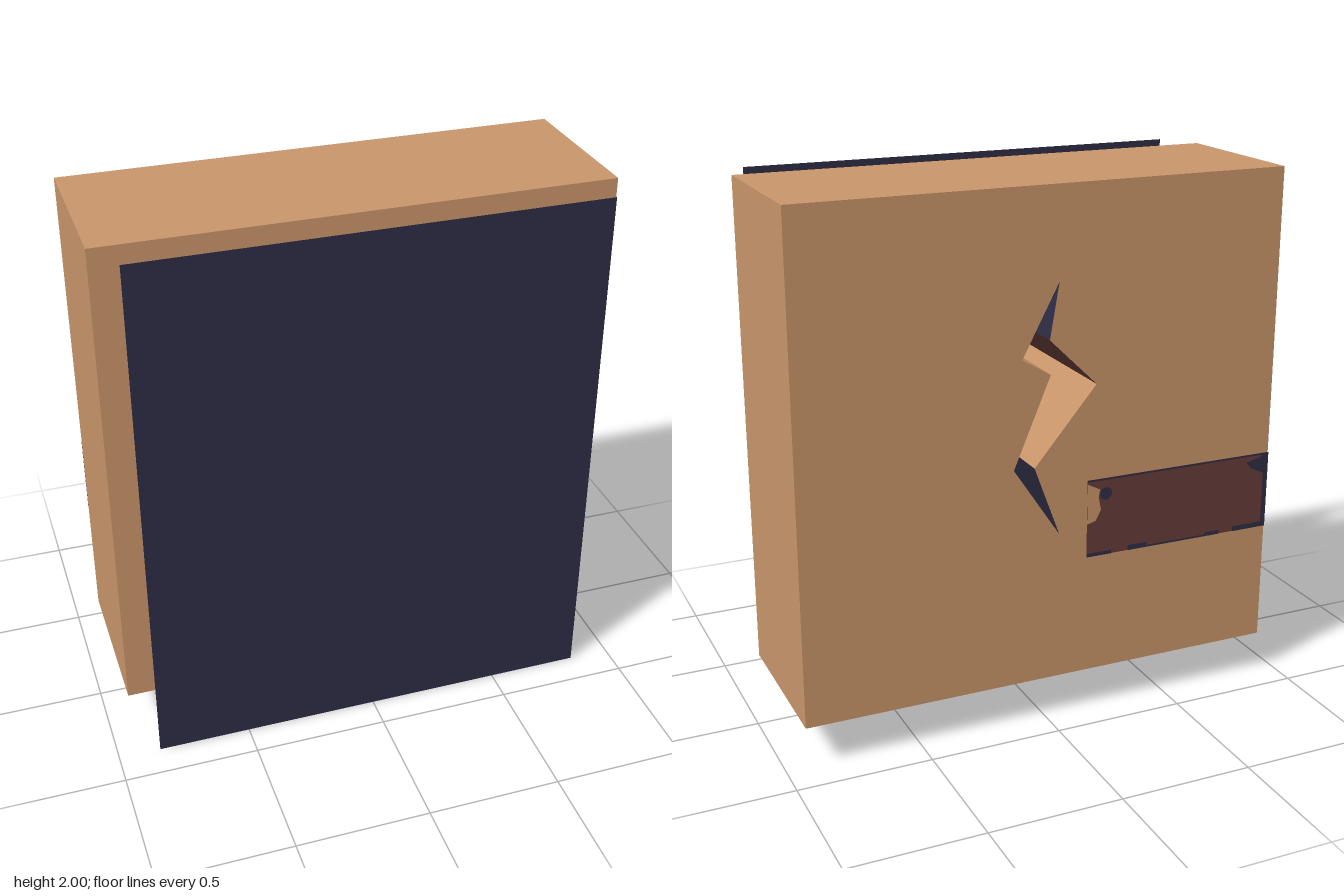
import * as THREE from 'three';

const flat = (name, color, side = THREE.FrontSide) => {
  const m = new THREE.MeshStandardMaterial({ color, side });
  m.name = name;
  return m;
};

export function createModel() {
  const model = new THREE.Group();
  const tan = flat('tan', 0xc8956a);
  const brown = flat('darkBrown', 0x653c39);
  const navy = flat('navy', 0x2e2d45, THREE.DoubleSide);

  const add = (name, geometry, material, parent = model) => {
    const mesh = new THREE.Mesh(geometry, material);
    mesh.name = name;
    parent.add(mesh);
    return mesh;
  };
  const shapeOf = (pts, flip = 1) =>
    new THREE.Shape(pts.map(([x, y]) => new THREE.Vector2(flip * x, y)));

  const W = 0.925, BOTTOM = 0.16, TOP = 2, BACK = -0.38, FRONT = 0.23;
  const outline = [[-W, BOTTOM], [W, BOTTOM], [W, TOP], [-W, TOP]];

  // Crack outline, clockwise; each corner carries the colour of the wall after it
  const crack = [
    [-0.04, 1.665, brown], [0.1, 1.4, tan], [-0.01, 1.335, brown], [0.13, 1.0, navy],
    [-0.05, 0.73, navy], [0.05, 0.997, tan], [-0.19, 1.28, brown], [-0.005, 1.46, navy],
  ];

  // Block: two pierced faces joined by outer walls and crack walls
  const block = new THREE.Group();
  block.name = 'block';
  model.add(block);

  const face = (flip) => {
    const s = shapeOf(outline, flip);
    s.holes.push(shapeOf(crack, flip));
    return new THREE.ShapeGeometry(s);
  };
  add('frontFace', face(1).translate(0, 0, FRONT), tan, block);
  add('backFace', face(-1).rotateY(Math.PI).translate(0, 0, BACK), tan, block);

  const addWalls = (name, loop) => loop.forEach(([ax, ay, material = tan], i) => {
    const [bx, by] = loop[(i + 1) % loop.length];
    const g = new THREE.BufferGeometry();
    g.setAttribute('position', new THREE.Float32BufferAttribute(
      [ax, ay, BACK, bx, by, BACK, bx, by, FRONT, ax, ay, FRONT], 3));
    g.setIndex([0, 1, 2, 0, 2, 3]);
    g.computeVertexNormals();
    add(name, g, material, block);
  });
  addWalls('outerWall', outline);
  addWalls('crackWall', crack);

  // Thin dark panel floating in front of the block
  add('frontPanel', new THREE.PlaneGeometry(1.69, 2).translate(0, 1, 0.38), navy);

  // Worn strip on the back; u runs from its inner end to the block's edge, v upward
  const strip = new THREE.Group();
  strip.name = 'backStrip';
  strip.position.set(-0.16, 0.62, BACK);
  strip.rotation.y = Math.PI;
  model.add(strip);
  const L = 0.765, H = 0.3;
  const patch = (name, pts, material, z) =>
    add(name, new THREE.ShapeGeometry(shapeOf(pts)).translate(0, 0, z), material, strip);
  const bar = (name, u0, u1, v0, v1) =>
    patch(name, [[u0, v0], [u1, v0], [u1, v1], [u0, v1]], navy, 0.005);

  patch('stripBase', [[0, 0], [L, 0], [L, H], [0, H]], brown, 0.003);
  patch('bareChip', [[0, 0.13], [0.035, 0.14], [0.055, 0.18], [0.045, 0.23], [0.05, 0.26], [0, 0.285]], tan, 0.005);
  add('darkSpot', new THREE.CircleGeometry(0.025, 10).translate(0.075, 0.24, 0.005), navy, strip);
  patch('darkCorner', [[0.67, 0.27], [0.69, 0.245], [0.745, 0.22], [0.745, H], [0.73, 0.285]], navy, 0.005);
  bar('darkEnd', 0.745, L, 0, H);
  bar('darkTopEdge', 0, L, 0.293, H);
  for (const [u0, u1, h] of [[0, 0.1, 0.014], [0.17, 0.25, 0.02], [0.25, 0.5, 0.007], [0.5, 0.56, 0.016], [0.62, 0.745, 0.02]])
    bar('darkBottomEdge', u0, u1, 0, h);

  return model;
}
